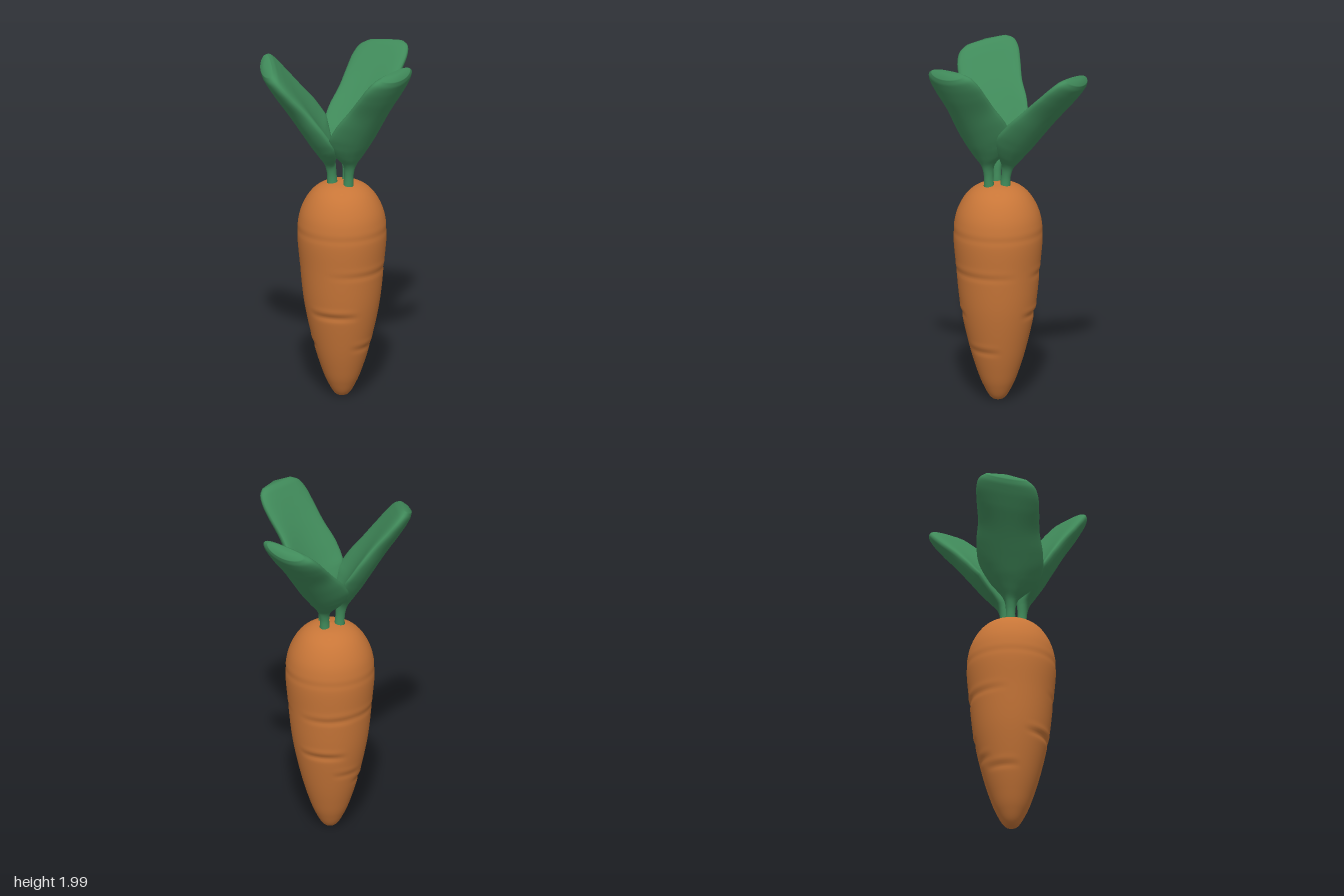
import * as THREE from 'three';

const rad = THREE.MathUtils.degToRad;

// Root: a lathed body with shallow partial creases pressed into it
function createRoot(material) {
  const profile = new THREE.CatmullRomCurve3([
    [0, 0.008], [0.035, 0.02], [0.084, 0.1], [0.122, 0.2], [0.16, 0.33], [0.207, 0.55],
    [0.232, 0.78], [0.246, 0.98], [0.226, 1.1], [0.168, 1.2], [0.1, 1.247], [0, 1.265],
  ].map(([r, y]) => new THREE.Vector3(r, y, 0)));
  const points = profile.getSpacedPoints(130).map((p) => new THREE.Vector2(Math.max(p.x, 0), p.y));
  points[0].x = points[130].x = 0;
  const geometry = new THREE.LatheGeometry(points, 64);

  // [height, direction in degrees from +x towards +z, half arc, depth]
  const creases = [
    [0.52, 62, 42, 0.008], [0.325, 145, 38, 0.005], [0.315, -8, 40, 0.005],
    [0.765, 0, 70, 0.004], [0.765, 180, 50, 0.004], [0.755, 232, 40, 0.005],
    [0.52, 240, 40, 0.008], [0.39, 195, 30, 0.004], [0.985, 0, 400, 0.002],
  ];
  const pos = geometry.attributes.position;
  for (let i = 0; i < pos.count; i++) {
    const x = pos.getX(i), y = pos.getY(i), z = pos.getZ(i);
    const r = Math.hypot(x, z);
    if (r < 0.02) continue;
    const angle = Math.atan2(z, x);
    let push = 0;
    for (const [h, dir, arc, depth] of creases) {
      const d = angle - rad(dir);
      const off = Math.abs(Math.atan2(Math.sin(d), Math.cos(d))) / rad(arc);
      if (off >= 1) continue;
      const v = (y - h) / 0.017;
      push += depth * (1 - off * off) * (Math.exp(-v * v) - 0.4 * Math.exp(-((v - 2) ** 2)));
    }
    const k = (r - push) / r;
    pos.setXYZ(i, x * k, y, z * k);
  }
  geometry.computeVertexNormals();
  // Match the normals on both sides of the lathe seam
  const n = geometry.attributes.normal;
  const row = points.length;
  for (let i = 0; i < row; i++) {
    const a = new THREE.Vector3().fromBufferAttribute(n, i);
    const j = 64 * row + i;
    a.add(new THREE.Vector3().fromBufferAttribute(n, j)).normalize();
    n.setXYZ(i, a.x, a.y, a.z);
    n.setXYZ(j, a.x, a.y, a.z);
  }
  const root = new THREE.Mesh(geometry, material);
  root.name = 'root';
  root.position.set(-0.04, 0, 0.055);
  return root;
}

// Leaf: cupped oval sections swept from a round stem into a broad blade
// stations: [reach, height, half width, half thickness, cup]
const stations = [
  [0, 1.22, 0.032, 0.03, 0], [0.004, 1.31, 0.026, 0.026, 0], [0.014, 1.375, 0.042, 0.031, 0.006],
  [0.04, 1.44, 0.115, 0.042, 0.045], [0.083, 1.52, 0.174, 0.05, 0.08], [0.142, 1.625, 0.184, 0.053, 0.07],
  [0.205, 1.73, 0.17, 0.054, 0.052], [0.27, 1.83, 0.173, 0.054, 0.036], [0.315, 1.9, 0.171, 0.051, 0.027],
  [0.345, 1.947, 0.152, 0.046, 0.02], [0.362, 1.973, 0.112, 0.034, 0.012],
];

// skew tilts the blade so that its local +z side stands higher
function createLeaf(material, name, base, direction, reach, rise, skew) {
  const path = new THREE.CatmullRomCurve3(stations.map(([r, y, w]) =>
    new THREE.Vector3(r * reach, 1.22 + (y - 1.22) * rise, w)));
  const rows = 50, sides = 28, last = stations.length - 1;
  const verts = [], index = [];
  for (let i = 0; i <= rows; i++) {
    const t = i / rows;
    const c = path.getPoint(t);
    const tan = path.getTangent(t).setZ(0).normalize();
    const s = Math.min(Math.floor(t * last), last - 1), f = t * last - s;
    const mix = (k) => THREE.MathUtils.lerp(stations[s][k], stations[s + 1][k], f);
    for (let j = 0; j < sides; j++) {
      const a = (j / sides) * Math.PI * 2;
      const n = mix(3) * Math.sin(a) + mix(4) * Math.cos(a) ** 2;
      const z = c.z * Math.cos(a);
      verts.push(c.x - tan.y * n, c.y + tan.x * n + skew * z, z);
      if (i < rows) {
        const p = i * sides + j, q = i * sides + (j + 1) % sides;
        index.push(p, p + sides, q, q, p + sides, q + sides);
      }
    }
  }
  // Rounded tip
  const end = path.getPoint(1), tan = path.getTangent(1).setZ(0).normalize();
  verts.push(end.x + tan.x * 0.015, end.y + tan.y * 0.015, 0);
  for (let j = 0; j < sides; j++) {
    index.push(rows * sides + (j + 1) % sides, rows * sides + j, (rows + 1) * sides);
  }
  const geometry = new THREE.BufferGeometry();
  geometry.setAttribute('position', new THREE.Float32BufferAttribute(verts, 3));
  geometry.setIndex(index);
  geometry.computeVertexNormals();
  const leaf = new THREE.Mesh(geometry, material);
  leaf.name = name;
  leaf.position.set(base[0], 0, base[1]);
  leaf.rotation.y = -rad(direction);
  return leaf;
}

export function createModel() {
  const orange = new THREE.MeshStandardMaterial({ color: 0xc87638 });
  orange.name = 'carrotOrange';
  const green = new THREE.MeshStandardMaterial({ color: 0x408a5a });
  green.name = 'leafGreen';

  const model = new THREE.Group();
  model.name = 'carrot';
  model.add(
    createRoot(orange),
    createLeaf(green, 'leftLeaf', [0.02, 0.069], 0, 1, 1.005, -0.05),
    createLeaf(green, 'backLeaf', [-0.045, 0.008], 257, 1.26, 0.93, 0.15),
    createLeaf(green, 'frontRightLeaf', [-0.074, 0.095], 130, 1.03, 0.965, 0.22),
  );
  return model;
}
